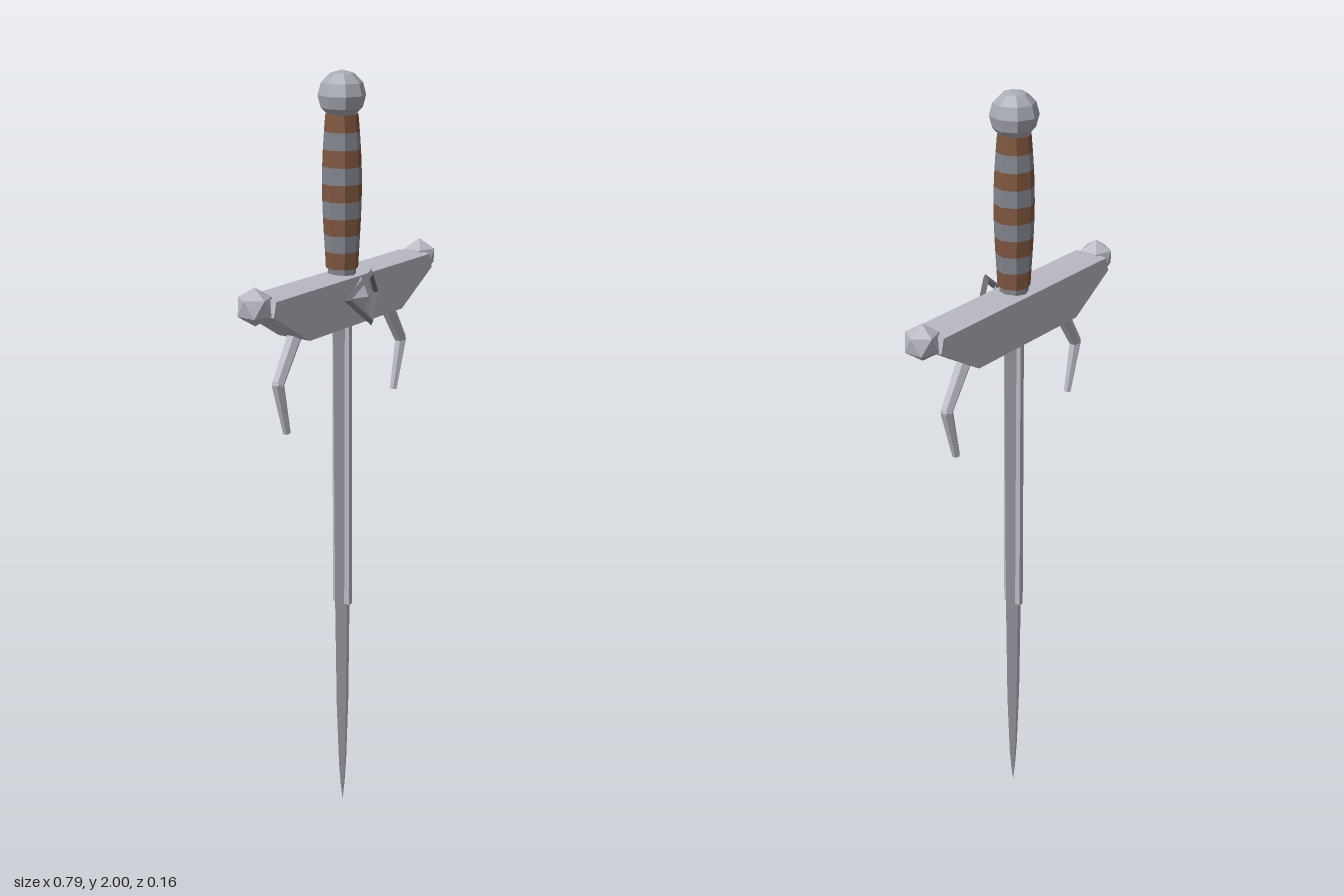
import * as THREE from 'three';

const paint = (name, color) => {
  const m = new THREE.MeshStandardMaterial({ color, flatShading: true });
  m.name = name;
  return m;
};

export function createModel() {
  const steel = paint('steel', 0xb9b9c4);
  const pommelSteel = paint('pommel steel', 0xaaacb6);
  const gripGrey = paint('grip grey', 0x83868f);
  const leather = paint('leather brown', 0x80583f);
  const darkSteel = paint('dark steel', 0x74757c);

  const model = new THREE.Group();
  const Z = -0.018; // centre plane of the blade and hilt
  const add = (name, geometry, material, x = 0, y = 0, z = Z) => {
    const mesh = new THREE.Mesh(geometry, material);
    mesh.name = name;
    mesh.position.set(x, y, z);
    model.add(mesh);
    return mesh;
  };
  const lathe = (points, sides) =>
    new THREE.LatheGeometry(points.map(([r, y]) => new THREE.Vector2(r, y)), sides);

  // Diamond-section blade with a raised spine on both faces
  const blade = lathe([[0, 0], [0.009, 0.05], [0.017, 0.12], [0.027, 0.3], [0.033, 0.6], [0.039, 1.4]], 4);
  blade.scale(1, 1, 0.42);
  add('blade', blade, steel);
  add('bladeSpine', new THREE.BoxGeometry(0.014, 0.8, 0.052), steel, 0, 1.0);

  // Crossguard with a faintly crowned top
  const outline = new THREE.Shape([
    [-0.2, 1.375], [0.2, 1.375], [0.34, 1.46], [0.33, 1.497], [-0.33, 1.497], [-0.34, 1.46],
  ].map(([x, y]) => new THREE.Vector2(x, y)));
  const guard = new THREE.ExtrudeGeometry(outline, { depth: 0.096, steps: 3, bevelEnabled: false });
  guard.translate(0, 0, -0.048);
  const g = guard.attributes.position;
  for (let i = 0; i < g.count; i++) {
    if (g.getY(i) > 1.49 && Math.abs(g.getZ(i)) < 0.03) g.setY(i, 1.501);
  }
  add('crossguard', guard, steel);

  // Faceted guard knob, one corner pointing up
  const knob = new THREE.IcosahedronGeometry(0.047, 0);
  knob.rotateZ(Math.atan(2 / (1 + Math.sqrt(5))));

  for (const side of [-1, 1]) {
    add('guardKnob', knob, steel, side * 0.351, 1.483).rotation.y = side > 0 ? Math.PI : 0;

    // Bent hook below the guard, made of two tapered rods
    const path = [[0.185, 1.4, 0.02], [0.267, 1.272, 0.016], [0.234, 1.14, 0.01]];
    for (let i = 0; i < 2; i++) {
      const [x0, y0, r0] = path[i];
      const [x1, y1, r1] = path[i + 1];
      const a = new THREE.Vector3(side * x0, y0, Z);
      const b = new THREE.Vector3(side * x1, y1, Z);
      const direction = a.clone().sub(b);
      const mid = a.clone().add(b).multiplyScalar(0.5);
      const rod = add('guardHook', new THREE.CylinderGeometry(r0, r1, direction.length(), 6), steel,
        mid.x, mid.y, mid.z);
      rod.quaternion.setFromUnitVectors(new THREE.Vector3(0, 1, 0), direction.normalize());
    }
    add('hookElbow', new THREE.IcosahedronGeometry(0.016, 0), steel, side * 0.267, 1.272);
  }

  // Banded grip, slightly swollen in the middle
  const bands = 9, bottom = 1.515, top = 1.895;
  const radiusAt = (t) => 0.041 + 0.009 * Math.sin(Math.PI * Math.pow(t, 1.15));
  const step = (top - bottom) / bands;
  for (let i = 0; i < bands; i++) {
    const band = new THREE.CylinderGeometry(radiusAt((i + 1) / bands), radiusAt(i / bands), step, 8);
    add(i % 2 ? 'gripBand' : 'gripLeather', band, i % 2 ? gripGrey : leather, 0, bottom + (i + 0.5) * step);
  }
  add('gripCollar', new THREE.CylinderGeometry(0.036, 0.036, 0.03, 8), gripGrey, 0, 1.505);

  // Faceted round pommel
  add('pommel', new THREE.SphereGeometry(0.06, 8, 6), pommelSteel, 0, 1.94);

  // Front ornament: bent diamond frame around a cut stone
  const frame = new THREE.TorusGeometry(0.06, 0.012, 4, 4);
  const p = frame.attributes.position;
  for (let i = 0; i < p.count; i++) {
    p.setZ(i, p.getZ(i) * 0.7 + 0.22 * (Math.abs(p.getY(i)) - Math.abs(p.getX(i))));
  }
  add('ornamentFrame', frame, darkSteel, 0, 1.45, 0.056);
  const stone = new THREE.OctahedronGeometry(0.05, 0);
  stone.scale(1, 1, 0.45);
  add('ornamentStone', stone, steel, 0, 1.45, 0.04);

  return model;
}
